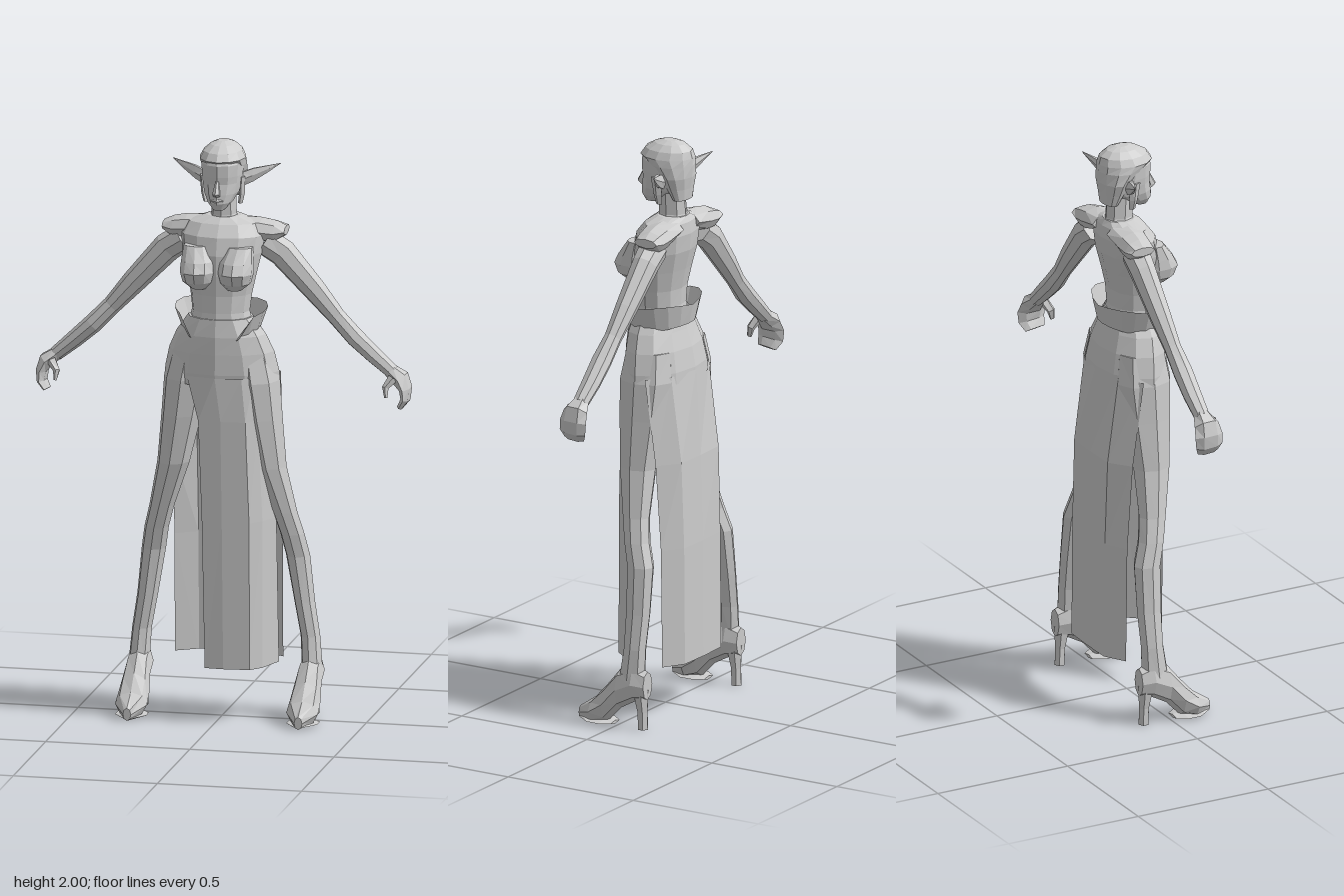
import * as THREE from 'three';

const material = new THREE.MeshStandardMaterial({ color: 0xcccccc, flatShading: true, side: THREE.DoubleSide });
material.name = 'light grey';
const X = new THREE.Vector3(1, 0, 0), Y = new THREE.Vector3(0, 1, 0), Z = new THREE.Vector3(0, 0, 1);

// Grid of points (rows of equal length) turned into a faceted mesh
function gridMesh(name, rows, wrap = false, caps = false) {
  const n = rows[0].length, pos = [], idx = [];
  rows.forEach(r => r.forEach(p => pos.push(p.x, p.y, p.z)));
  for (let i = 0; i < rows.length - 1; i++) {
    for (let j = 0; j < (wrap ? n : n - 1); j++) {
      const k = (j + 1) % n, a = i * n + j, b = i * n + k, c = a + n, d = b + n;
      idx.push(a, b, d, a, d, c);
    }
  }
  if (caps) {
    const last = (rows.length - 1) * n;
    for (let j = 1; j < n - 1; j++) {
      idx.push(0, j + 1, j);
      idx.push(last, last + j, last + j + 1);
    }
  }
  const g = new THREE.BufferGeometry();
  g.setAttribute('position', new THREE.Float32BufferAttribute(pos, 3));
  g.setIndex(idx);
  const flat = g.toNonIndexed();
  flat.computeVertexNormals();
  const mesh = new THREE.Mesh(flat, material);
  mesh.name = name;
  return mesh;
}

// Closed loft through [x, y, z, radiusU, radiusV]; V lies along ref, rings face the path or a fixed axis
function limb(name, pts, { ref = Z, axis = null, sides = 8 } = {}) {
  const c = pts.map(p => new THREE.Vector3(p[0], p[1], p[2]));
  const rows = pts.map((p, i) => {
    const t = axis ? axis.clone()
      : c[Math.min(i + 1, c.length - 1)].clone().sub(c[Math.max(i - 1, 0)]).normalize();
    const u = t.clone().cross(ref).normalize(), v = u.clone().cross(t);
    return Array.from({ length: sides }, (_, j) => {
      const a = j / sides * Math.PI * 2;
      return c[i].clone().addScaledVector(u, Math.sin(a) * p[3]).addScaledVector(v, Math.cos(a) * p[4]);
    });
  });
  return gridMesh(name, rows, true, true);
}

// Upright loft through [y, half width, front z, back z]
const body = (name, rings, sides = 12) => limb(name,
  rings.map(([y, rx, f, b]) => [0, y, (f + b) / 2, rx, (f - b) / 2]), { axis: Y, sides });

// Open cloth from rows [y, [x, z], [x, z], ...], listed bottom to top
const cloth = (name, rows) => gridMesh(name,
  rows.map(([y, ...cols]) => cols.map(([x, z]) => new THREE.Vector3(x, y, z))));

function makeHead() {
  const g = new THREE.Group();
  g.name = 'head';
  g.add(
    body('face', [
      [1.775, .02, .075, .03], [1.8, .043, .088, -.03], [1.83, .06, .086, -.075],
      [1.865, .068, .08, -.09], [1.89, .071, .083, -.095], [1.93, .073, .084, -.095], [1.96, .06, .07, -.08]]),
    body('hair', [
      [1.8, .05, -.045, -.095], [1.84, .062, -.02, -.1], [1.88, .076, 0, -.106], [1.92, .08, .05, -.108],
      [1.945, .079, .089, -.107], [1.97, .066, .072, -.1], [1.99, .043, .038, -.075], [2, .018, .005, -.045]]),
    body('neck', [[1.7, .065, .03, -.095], [1.745, .044, .02, -.08], [1.83, .042, .025, -.075]], 8),
    limb('nose', [[0, 1.826, .084, .012, .01], [0, 1.837, .094, .014, .017], [0, 1.878, .081, .006, .007]],
      { axis: Y, sides: 6 }),
    limb('lips', [[-.02, 1.81, .077, .003, .005], [0, 1.81, .086, .009, .008], [.02, 1.81, .077, .003, .005]],
      { axis: X, sides: 6 }));
  return g;
}

// Everything that exists once per side, modelled on +x
function makeSide(name) {
  const g = new THREE.Group();
  g.name = name;
  g.add(
    limb('ear', [[.06, 1.865, -.02, .028, .02], [.1, 1.88, -.035, .026, .014],
      [.145, 1.898, -.052, .014, .008], [.187, 1.916, -.07, .001, .001]], { axis: X, sides: 6 }),
    limb('sideLock', [[.06, 1.785, -.012, .008, .012], [.066, 1.82, -.01, .01, .016],
      [.07, 1.88, -.005, .008, .02]], { axis: Y, sides: 4 }),
    limb('shoulderCap', [[.05, 1.705, -.035, .03, .07], [.13, 1.69, -.045, .042, .06],
      [.175, 1.685, -.048, .038, .055], [.212, 1.69, -.052, .016, .045]], { axis: X }),
    limb('arm', [[.14, 1.65, -.04, .05, .05], [.2, 1.61, -.045, .05, .045], [.315, 1.485, -.04, .041, .037],
      [.39, 1.4, -.035, .032, .03], [.455, 1.333, -.03, .033, .036], [.52, 1.275, -.03, .03, .034],
      [.585, 1.22, -.028, .025, .029]]),
    limb('hand', [[.575, 1.227, -.028, .024, .028], [.613, 1.2, -.026, .03, .046],
      [.63, 1.165, -.026, .02, .052], [.63, 1.128, -.024, .015, .05], [.612, 1.1, -.02, .01, .038]], { sides: 6 }),
    limb('thumb', [[.592, 1.205, .002, .018, .018], [.57, 1.175, .018, .012, .015],
      [.574, 1.142, .026, .006, .009]], { sides: 5 }),
    limb('leg', [[.3, .17, -.055, .036, .05], [.292, .28, -.062, .034, .042], [.272, .4, -.062, .036, .046],
      [.25, .56, -.058, .042, .049], [.235, .64, -.035, .042, .047], [.213, .72, -.018, .043, .05],
      [.168, .88, .003, .056, .068], [.14, 1.05, .002, .07, .088], [.122, 1.18, 0, .079, .1],
      [.105, 1.28, 0, .07, .085]], { axis: Y }),
    limb('shoe', [[.297, .155, -.115, .03, .05], [.297, .16, -.07, .043, .065], [.297, .132, -.01, .045, .07],
      [.297, .075, .04, .053, .066], [.297, .043, .09, .055, .043], [.297, .022, .152, .014, .022]],
      { ref: Y, axis: Z }),
    limb('shoeHeel', [[.297, 0, -.097, .02, .019], [.297, .06, -.095, .019, .019],
      [.297, .14, -.088, .032, .03]], { axis: Y, sides: 6 }),
    limb('shoeSole', [[.297, .006, .015, .03, .006], [.297, .008, .05, .054, .008],
      [.297, .008, .095, .054, .008], [.297, .008, .15, .014, .008]], { ref: Y, axis: Z, sides: 4 }),
    limb('bust', [[.062, 1.505, .085, .025, .025], [.066, 1.53, .085, .052, .054], [.066, 1.565, .082, .061, .073],
      [.067, 1.6, .075, .058, .06], [.075, 1.65, .06, .045, .035]], { axis: Y, sides: 10 }));
  return g;
}

// Flared band, open at the front with its ends tapering to points
function makeBelt() {
  const low = [], high = [];
  for (let i = 0; i <= 14; i++) {
    const a = THREE.MathUtils.lerp(.55, Math.PI * 2 - .55, i / 14);
    const back = (1 - Math.cos(a)) / 2, tip = i === 0 || i === 14;
    const side = Math.abs(Math.sin(a));
    low.push(new THREE.Vector3(Math.sin(a) * .128, 1.325 + .035 * back, .01 + Math.cos(a) * .105));
    high.push(new THREE.Vector3(Math.sin(a) * .16, tip ? 1.34 : 1.385 + .045 * back + .025 * side,
      .012 + Math.cos(a) * .122));
  }
  return gridMesh('belt', [low, high]);
}

export function createModel() {
  const model = new THREE.Group();
  model.name = 'figure';

  // Torso and hips
  model.add(makeHead(),
    body('torso', [
      [1.36, .115, .105, -.07], [1.42, .1, .098, -.062], [1.48, .107, .095, -.065], [1.55, .122, .1, -.08],
      [1.62, .138, .098, -.097], [1.68, .145, .082, -.102], [1.72, .125, .05, -.096], [1.74, .06, .022, -.085]]),
    body('hips', [
      [1.17, .2, .112, -.122], [1.21, .198, .116, -.12], [1.28, .182, .115, -.106],
      [1.34, .155, .113, -.086], [1.4, .113, .105, -.068]]),
    makeBelt());

  // Skirt: off-centre front panel wrapping one side, and a full back panel
  model.add(
    cloth('skirtFront', [
      [.19, [-.035, .116], [.03, .12], [.12, .112], [.155, .07], [.19, -.03]],
      [.7, [-.045, .116], [.025, .12], [.118, .112], [.155, .07], [.188, 0]],
      [1.05, [-.058, .115], [.02, .119], [.105, .112], [.14, .075], [.165, .03]],
      [1.2, [-.1, .102], [0, .119], [.09, .108], [.13, .085], [.17, .05]]]));
  const half = [[.19, .115, -.105, -.15], [.6, .115, -.1, -.147], [.9, .118, -.08, -.138], [1.22, .12, -.04, -.098]];
  const heights = [.19, .6, .9, 1.2], centreZ = [-.153, -.15, -.14, -.122];
  model.add(cloth('skirtBack', half.map(([, bx, ez, bz], i) => {
    const ex = [.188, .188, .19, .195][i];
    return [heights[i], [ex, ez], [bx, bz], [0, centreZ[i]], [-bx, bz], [-ex, ez]];
  })));

  // Mirrored limbs, ears and shoes
  const left = makeSide('leftSide'), right = makeSide('rightSide');
  right.scale.x = -1;
  model.add(left, right);
  return model;
}
